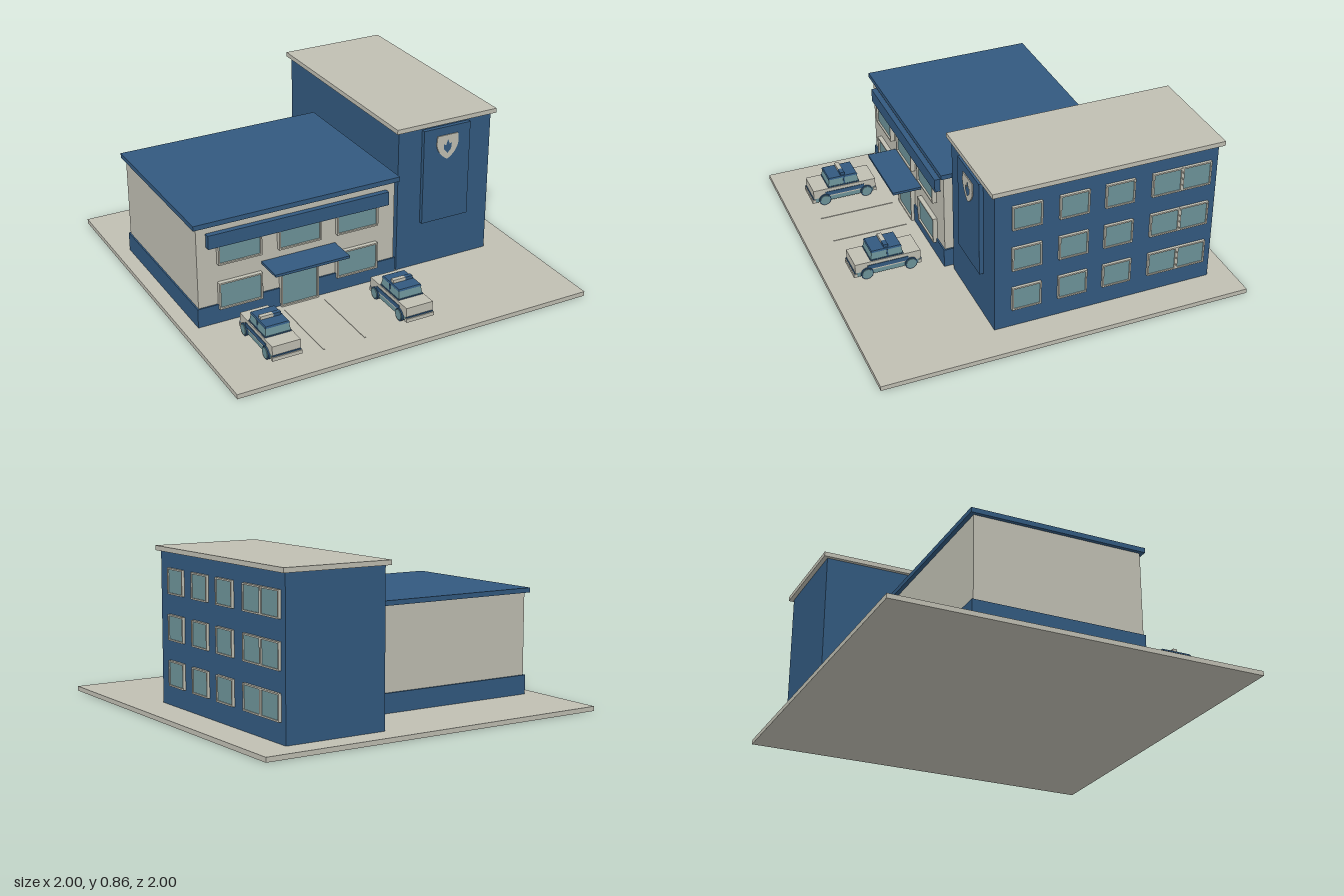
import * as THREE from 'three';

const mat = (name, color, side = THREE.FrontSide) => {
  const m = new THREE.MeshStandardMaterial({ color, side });
  m.name = name;
  return m;
};

export function createModel() {
  const cream = mat('cream', 0xbfbeb2);
  const blue = mat('blue', 0x32597f);
  const glass = mat('glass', 0x6c9298);
  const root = new THREE.Group();
  root.name = 'station';

  // Box given by its lower and upper limits on each axis
  function box(parent, name, material, [x0, x1], [y0, y1], [z0, z1]) {
    const mesh = new THREE.Mesh(new THREE.BoxGeometry(x1 - x0, y1 - y0, z1 - z0), material);
    mesh.position.set((x0 + x1) / 2, (y0 + y1) / 2, (z0 + z1) / 2);
    mesh.name = name;
    parent.add(mesh);
    return mesh;
  }

  // Framed pane facing +z, with its back on z = 0
  function windowUnit(name, w, h, depth, border = 0.008) {
    const g = new THREE.Group();
    g.name = name;
    const outline = new THREE.Shape();
    outline.moveTo(-w / 2, -h / 2).lineTo(w / 2, -h / 2).lineTo(w / 2, h / 2).lineTo(-w / 2, h / 2).closePath();
    const a = w / 2 - border, b = h / 2 - border;
    const hole = new THREE.Path();
    hole.moveTo(-a, -b).lineTo(-a, b).lineTo(a, b).lineTo(a, -b).closePath();
    outline.holes.push(hole);
    const frame = new THREE.Mesh(new THREE.ExtrudeGeometry(outline, { depth, bevelEnabled: false }), cream);
    frame.name = 'frame';
    g.add(frame);
    box(g, 'pane', glass, [-a, a], [-b, b], [0, depth * 0.6]);
    return g;
  }

  box(root, 'ground', cream, [-1, 1], [0, 0.025], [-1, 1]);
  for (const x of [-0.46, -0.23])
    box(root, 'parkingLine', cream, [x - 0.004, x + 0.004], [0.025, 0.028], [0.43, 0.85]);

  // Low main building
  const hall = new THREE.Group();
  hall.name = 'mainBuilding';
  root.add(hall);
  box(hall, 'walls', cream, [-0.912, 0.21], [0.025, 0.58], [-0.54, 0.37]);
  box(hall, 'plinth', blue, [-0.92, 0.219], [0.025, 0.13], [-0.55, 0.378]);
  box(hall, 'roof', blue, [-0.932, 0.23], [0.58, 0.606], [-0.562, 0.39]);
  box(hall, 'fasciaBand', blue, [-0.86, 0.16], [0.465, 0.54], [0.37, 0.4]);
  box(hall, 'entranceCanopy', blue, [-0.56, -0.14], [0.294, 0.308], [0.37, 0.53]);
  const addFront = (name, x, y, w, h) => {
    const u = windowUnit(name, w, h, 0.025);
    u.position.set(x, y, 0.37);
    hall.add(u);
  };
  for (const x of [-0.685, -0.35, -0.018]) addFront('upperWindow', x, 0.432, 0.24, 0.148);
  for (const x of [-0.685, -0.018]) addFront('lowerWindow', x, 0.181, 0.24, 0.15);
  addFront('entranceDoor', -0.355, 0.148, 0.215, 0.245);

  // Tall wing
  const tower = new THREE.Group();
  tower.name = 'tallWing';
  root.add(tower);
  box(tower, 'walls', blue, [0.25, 0.812], [0.025, 0.83], [-0.87, 0.337]);
  box(tower, 'roof', cream, [0.23, 0.835], [0.83, 0.855], [-0.893, 0.357]);
  box(tower, 'frontPanel', blue, [0.39, 0.672], [0.28, 0.815], [0.337, 0.36]);
  for (const y of [0.68, 0.439, 0.198])
    for (const z of [0.168, -0.082, -0.328, -0.586, -0.75]) {
      const u = windowUnit('sideWindow', z < -0.5 ? 0.163 : 0.158, 0.136, 0.015);
      u.position.set(0.812, y, z);
      u.rotation.y = Math.PI / 2;
      tower.add(u);
    }

  // Plain shield plate with a pointed opening
  const shield = new THREE.Shape();
  shield.moveTo(-0.062, 0.07).lineTo(0.062, 0.07).lineTo(0.067, 0.025);
  shield.quadraticCurveTo(0.06, -0.035, 0, -0.068);
  shield.quadraticCurveTo(-0.06, -0.035, -0.067, 0.025).closePath();
  const opening = new THREE.Path();
  opening.moveTo(0, -0.035).lineTo(-0.024, -0.005).lineTo(-0.022, 0.02).lineTo(-0.01, 0.012);
  opening.lineTo(0.002, 0.044).lineTo(0.012, 0.018).lineTo(0.025, 0.02).lineTo(0.022, -0.012).closePath();
  shield.holes.push(opening);
  const plate = new THREE.Mesh(
    new THREE.ExtrudeGeometry(shield, { depth: 0.005, bevelEnabled: false, curveSegments: 6 }), cream);
  plate.name = 'shieldPlate';
  plate.position.set(0.532, 0.7, 0.36);
  tower.add(plate);

  // Tapered block: width and length of the top are scaled
  function cabin(parent, name, material, w, h, l, topX, topZ, y) {
    const g = new THREE.BoxGeometry(w, h, l);
    const p = g.attributes.position;
    for (let i = 0; i < p.count; i++)
      if (p.getY(i) > 0) p.setXYZ(i, p.getX(i) * topX, p.getY(i), p.getZ(i) * topZ);
    g.computeVertexNormals();
    const mesh = new THREE.Mesh(g, material);
    mesh.position.set(0, y + h / 2, 0);
    mesh.name = name;
    parent.add(mesh);
  }

  // Patrol cars, nose towards +z, origin on the ground at mid length
  function car(x) {
    const c = new THREE.Group();
    c.name = 'patrolCar';
    c.position.set(x, 0.025, 0.672);
    root.add(c);
    box(c, 'body', cream, [-0.077, 0.077], [0.047, 0.099], [-0.183, 0.178]);
    box(c, 'sill', glass, [-0.075, 0.075], [0.02, 0.047], [-0.176, 0.172]);
    for (const s of [-1, 1]) {
      box(c, 'bumper', cream, [-0.08, 0.08], [0.022, 0.042], s > 0 ? [0.168, 0.187] : [-0.187, -0.17]);
      box(c, 'bumperStripe', blue, [-0.077, 0.077], [0.043, 0.05], s > 0 ? [0.175, 0.182] : [-0.187, -0.18]);
      box(c, 'doorStripe', blue, s > 0 ? [0.076, 0.08] : [-0.08, -0.076], [0.056, 0.08], [-0.115, 0.11]);
      box(c, 'doorPillar', blue, s > 0 ? [0.062, 0.069] : [-0.069, -0.062], [0.099, 0.147], [-0.008, 0]);
      for (const z of [-0.128, 0.115]) {
        const tyre = new THREE.Mesh(new THREE.CylinderGeometry(0.034, 0.034, 0.022, 20), blue);
        tyre.name = 'tyre';
        tyre.rotation.z = Math.PI / 2;
        tyre.position.set(s * 0.073, 0.034, z);
        const hub = new THREE.Mesh(new THREE.CylinderGeometry(0.028, 0.028, 0.006, 20), glass);
        hub.name = 'hubcap';
        hub.rotation.z = Math.PI / 2;
        hub.position.set(s * 0.085, 0.034, z);
        c.add(tyre, hub);
      }
    }
    cabin(c, 'cabinBase', blue, 0.144, 0.008, 0.182, 1, 1, 0.097);
    cabin(c, 'cabinGlass', glass, 0.138, 0.042, 0.176, 0.92, 0.92, 0.105);
    cabin(c, 'cabinRoof', blue, 0.134, 0.009, 0.17, 0.94, 0.95, 0.145);
    box(c, 'creamLight', cream, [-0.056, 0.014], [0.154, 0.171], [-0.012, 0.012]);
    box(c, 'blueLight', blue, [0.014, 0.056], [0.154, 0.171], [-0.012, 0.012]);
  }
  for (const x of [-0.665, 0.083]) car(x);

  return root;
}
